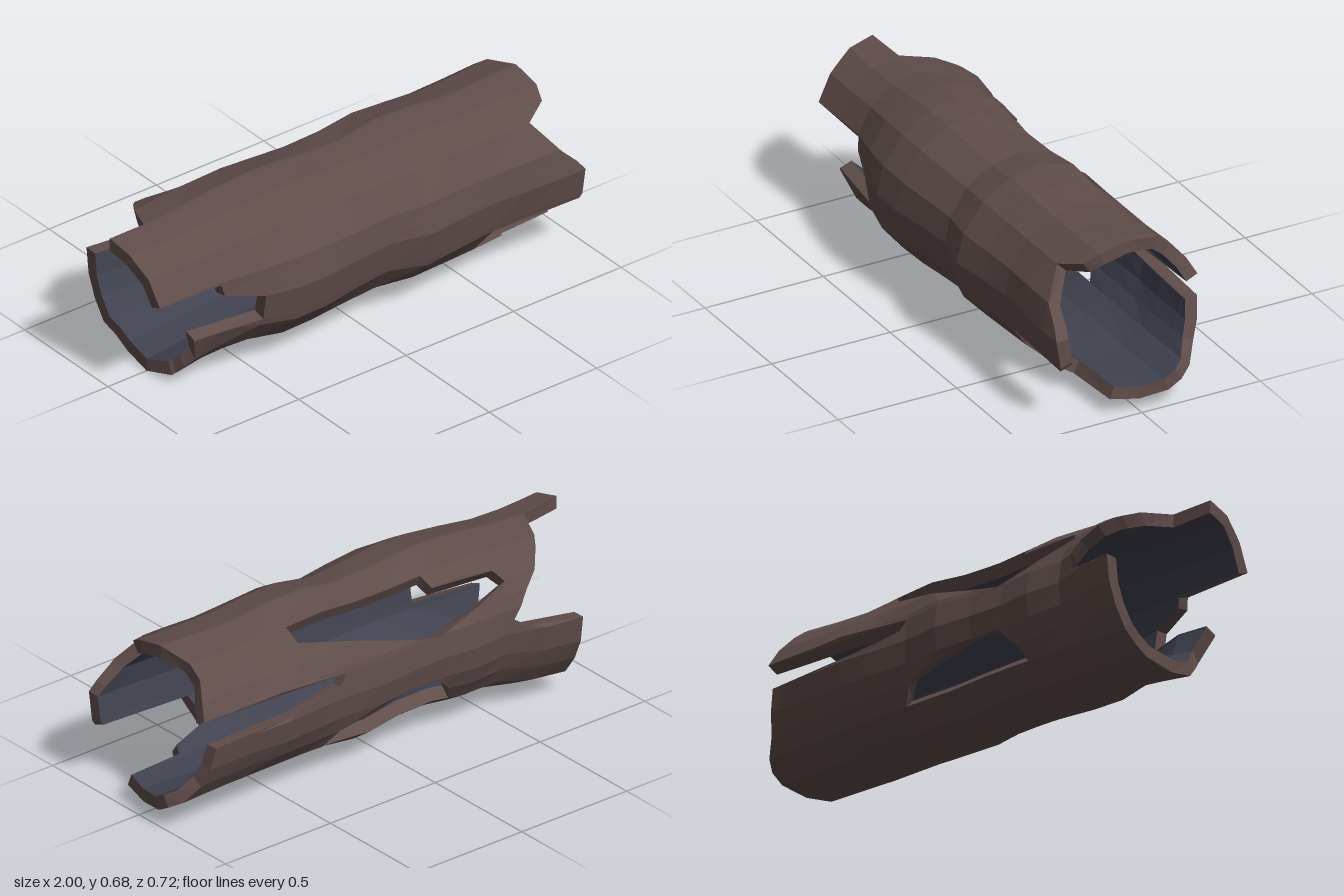
import * as THREE from 'three';

const RAD = Math.PI / 180;
const SECTOR = 22.5;
const WALL = 0.052;
const AXIS_Y = 0.343;

// Radius along the trunk on each of its four sides
const STATIONS = [-1, -0.82, -0.67, -0.52, -0.37, -0.23, -0.08, 0.08, 0.24, 0.4, 0.55, 0.7, 0.85, 1];
const FRONT = [0.285, 0.275, 0.265, 0.315, 0.352, 0.355, 0.335, 0.312, 0.355, 0.34, 0.33, 0.335, 0.34, 0.34];
const TOP = [0.3, 0.292, 0.305, 0.322, 0.33, 0.33, 0.32, 0.315, 0.337, 0.33, 0.317, 0.322, 0.328, 0.32];
const BACK = [0.36, 0.36, 0.345, 0.295, 0.305, 0.285, 0.29, 0.31, 0.295, 0.3, 0.31, 0.302, 0.305, 0.31];
const BOTTOM = [0.34, 0.343, 0.325, 0.303, 0.308, 0.295, 0.3, 0.313, 0.297, 0.293, 0.295, 0.303, 0.298, 0.3];

// Each panel of the shell is a list of rows: [angle, start x, end x].
// Angle 0 is the front, 90 the top, -90 the bottom, -180 the back.
const PANELS = [
  // front, top and underside, with split and jagged ends
  [[-135, -0.82, 0.97], [-124, -0.81, 1], [-112, -0.81, 1], [-90, -0.82, 0.98], [-68, -0.8, 0.96],
    [-65, -0.79, 0.72], [-56, -0.78, 0.7], [-45, -0.76, 0.53], [-22, -0.8, 0.56], [-20, -0.8, 0.95],
    [-17, -0.51, 0.96], [3, -0.51, 0.96], [10, -0.66, 0.93], [20, -0.67, 0.87], [22, -0.96, 0.86],
    [45, -0.97, 0.78], [56, -0.98, 0.88], [68, -0.99, 0.9], [88, -1, 0.9], [91, -0.83, 0.9], [115, -0.78, 0.87]],
  // lower back, either side of the lower slot
  [[-165, -0.82, -0.2], [-150, -0.82, -0.27], [-135, -0.82, -0.3]],
  [[-165, -0.05, 0.9], [-150, 0.25, 0.92], [-135, 0.3, 0.97]],
  // belt along the back
  [[-200, -0.58, 0.24], [-192, -0.55, 0.27], [-185, -0.6, 0.5], [-182, -0.82, 0.88], [-165, -0.82, 0.9]],
  // bridges on either side of the upper hole
  [[-245, -0.78, -0.23], [-234, -0.74, -0.25], [-230, -0.72, -0.52], [-220, -0.68, -0.55],
    [-210, -0.62, -0.4], [-200, -0.58, -0.2]],
  [[-245, 0.41, 0.87], [-232, 0.4, 0.87], [-218, 0.15, 0.9], [-204, -0.1, 0.92], [-200, -0.2, 0.24]],
];

// Value of a side profile at x
function profileAt(profile, x) {
  let i = 0;
  while (i < STATIONS.length - 2 && x > STATIONS[i + 1]) i++;
  const t = (x - STATIONS[i]) / (STATIONS[i + 1] - STATIONS[i]);
  return THREE.MathUtils.lerp(profile[i], profile[i + 1], t);
}

// Blend the side profiles around the trunk, with a swelling low at the back of the broken end
function cornerRadius(x, a) {
  const c = Math.cos(a * RAD);
  const s = Math.sin(a * RAD);
  const side = profileAt(c > 0 ? FRONT : BACK, x);
  const upright = profileAt(s > 0 ? TOP : BOTTOM, x);
  const flare = THREE.MathUtils.clamp((-0.4 - x) / 0.3, 0, 1);
  const knot = Math.max(0, Math.cos((a + 138) * RAD)) ** 8 * 0.018 * flare;
  return c * c * side + s * s * upright + knot + 0.004 * Math.sin(9 * x + 3 * a * RAD);
}

// Point on the sixteen-sided trunk, moved inward by depth
function shellPoint(x, a, depth) {
  const a0 = Math.floor(a / SECTOR) * SECTOR;
  const t = (a - a0) / SECTOR;
  const corner = (b) => {
    const r = cornerRadius(x, b) - depth;
    return new THREE.Vector3(x, AXIS_Y + r * Math.sin(b * RAD), r * Math.cos(b * RAD));
  };
  return corner(a0).lerp(corner(a0 + SECTOR), t);
}

function addTriangle(out, a, b, c) {
  const area = b.clone().sub(a).cross(c.clone().sub(a)).length();
  if (area > 1e-7) for (const p of [a, b, c]) out.push(p.x, p.y, p.z);
}

function addQuad(out, a, b, c, d) {
  addTriangle(out, a, b, c);
  addTriangle(out, a, c, d);
}

// Outer face, inner face and broken edges of one panel
function addPanel(rows, bark, inner) {
  const grid = (depth) => rows.map(([a, x0, x1]) =>
    STATIONS.map((x) => shellPoint(THREE.MathUtils.clamp(x, x0, x1), a, depth)));
  const o = grid(0);
  const n = grid(WALL);
  const last = STATIONS.length - 1;
  const top = rows.length - 1;
  for (let r = 0; r < top; r++) {
    for (let i = 0; i < last; i++) {
      addQuad(bark, o[r][i], o[r][i + 1], o[r + 1][i + 1], o[r + 1][i]);
      addQuad(inner, n[r][i], n[r + 1][i], n[r + 1][i + 1], n[r][i + 1]);
    }
    addQuad(bark, o[r][0], o[r + 1][0], n[r + 1][0], n[r][0]);
    addQuad(bark, o[r][last], n[r][last], n[r + 1][last], o[r + 1][last]);
  }
  for (let i = 0; i < last; i++) {
    addQuad(bark, o[0][i], n[0][i], n[0][i + 1], o[0][i + 1]);
    addQuad(bark, o[top][i], o[top][i + 1], n[top][i + 1], n[top][i]);
  }
}

function makeMesh(name, positions, material) {
  const geometry = new THREE.BufferGeometry();
  geometry.setAttribute('position', new THREE.Float32BufferAttribute(positions, 3));
  geometry.computeVertexNormals();
  const mesh = new THREE.Mesh(geometry, material);
  mesh.name = name;
  return mesh;
}

export function createModel() {
  const barkBrown = new THREE.MeshStandardMaterial({ color: 0x5f4d4a });
  barkBrown.name = 'barkBrown';
  const hollowGrey = new THREE.MeshStandardMaterial({ color: 0x40424f });
  hollowGrey.name = 'hollowGrey';

  const bark = [];
  const inner = [];
  for (const rows of PANELS) addPanel(rows, bark, inner);

  const log = new THREE.Group();
  log.name = 'hollowLog';
  log.add(makeMesh('bark', bark, barkBrown), makeMesh('innerWall', inner, hollowGrey));

  // Stand the log on the ground
  const box = new THREE.Box3().setFromObject(log);
  log.position.y = -box.min.y;
  const model = new THREE.Group();
  model.name = 'model';
  model.add(log);
  return model;
}
